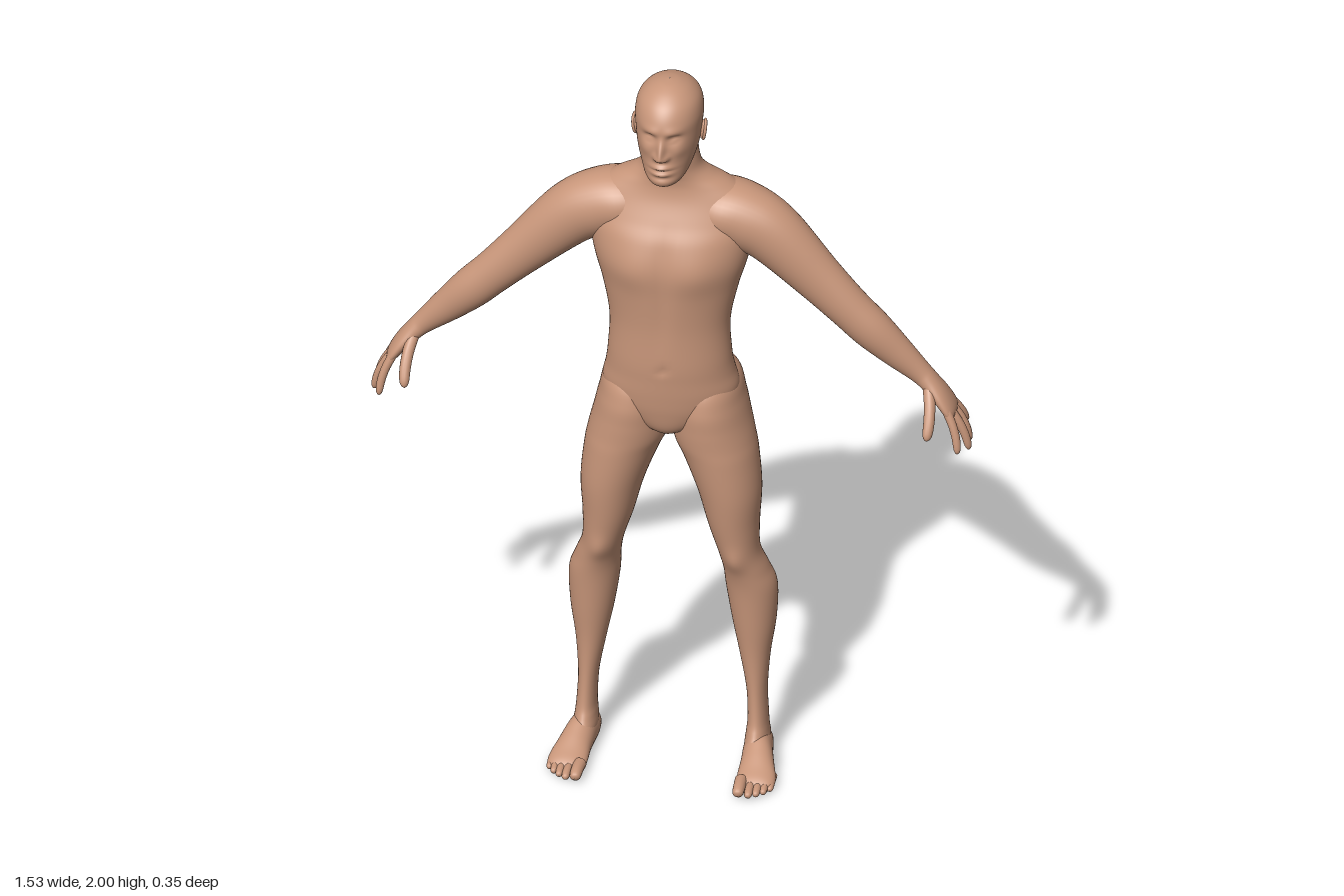
import * as THREE from 'three';

const V = (x, y, z) => new THREE.Vector3(x, y, z);
const Y = V(0, 1, 0), Z = V(0, 0, 1);
const bell = (d, w) => Math.exp(-(d * d) / (w * w));
const ramp = (a, b, t) => THREE.MathUtils.smoothstep(t, a, b);

// Smoothly resamples rows of numbers with a Catmull-Rom rule
function resample(rows, seg) {
  const out = [], last = rows.length - 1;
  for (let i = 0; i < last; i++) {
    const [a, b, c, d] = [rows[Math.max(i - 1, 0)], rows[i], rows[i + 1], rows[Math.min(i + 2, last)]];
    for (let k = 0; k < seg; k++) {
      const t = k / seg;
      out.push(b.map((p, j) => p + 0.5 * t * (c[j] - a[j] + t * (2 * a[j] - 5 * p + 4 * c[j] - d[j]
        + t * (3 * (p - c[j]) + d[j] - a[j])))));
    }
  }
  out.push(rows[last]);
  return out;
}

// Skin over oval sections [x, y, z, half-size across, half-size along ref];
// with an axis the sections stay square to it, otherwise they follow the path
function loft(rows, { ref = Z, axis = null, n = 32, seg = 5, sculpt = null } = {}) {
  const path = resample(rows, seg), pos = [], idx = [];
  path.forEach((r, i) => {
    const p0 = path[Math.max(i - 1, 0)], p1 = path[Math.min(i + 1, path.length - 1)];
    let t = V(p1[0] - p0[0], p1[1] - p0[1], p1[2] - p0[2]).normalize();
    if (axis) t = axis.clone().multiplyScalar(t.dot(axis) < 0 ? -1 : 1);
    const v = ref.clone().addScaledVector(t, -ref.dot(t)).normalize();
    const u = v.clone().cross(t);
    for (let j = 0; j < n; j++) {
      const a = (j / n) * Math.PI * 2, s = Math.sin(a);
      const p = V(r[0], r[1], r[2]).addScaledVector(u, Math.cos(a) * Math.max(r[3], 0.0005))
        .addScaledVector(v, s * Math.max(r[4], 0.0005));
      if (sculpt) sculpt(p, s);
      pos.push(p.x, p.y, p.z);
      if (i < path.length - 1) {
        const A = i * n + j, B = i * n + (j + 1) % n;
        idx.push(A, B, B + n, A, B + n, A + n);
      }
    }
  });
  const g = new THREE.BufferGeometry();
  g.setAttribute('position', new THREE.Float32BufferAttribute(pos, 3));
  g.setIndex(idx);
  g.computeVertexNormals();
  return g;
}

// Upright section from height, half-width, front z and back z
const slice = (y, w, front, back, x = 0) => [x, y, (front + back) / 2, w, (front - back) / 2];

// Tapered finger or toe along a bent line
function digit(base, mid, tip, r, ref) {
  const curve = new THREE.QuadraticBezierCurve3(V(...base), V(...mid), V(...tip));
  const taper = [[0, 1], [0.3, 0.95], [0.6, 0.92], [0.85, 0.82], [0.96, 0.5], [1, 0.03]];
  return loft(taper.map(([t, k]) => [...curve.getPoint(t).toArray(), r * k, r * k]), { ref, n: 14, seg: 3 });
}

// Spine furrow, shoulder blades, chest muscles, midline and navel
function sculptTorso(p, s) {
  const ax = Math.abs(p.x);
  if (s < 0) {
    p.z += 0.012 * bell(p.x, 0.032) * ramp(1.05, 1.2, p.y) * (1 - ramp(1.58, 1.7, p.y)) * -s;
    p.z -= 0.012 * bell(ax - 0.09, 0.055) * bell(p.y - 1.54, 0.1) * -s;
  } else {
    p.z += 0.01 * bell(ax - 0.09, 0.06) * bell(p.y - 1.48, 0.06) * s;
    p.z -= 0.005 * bell(p.x, 0.022) * ramp(1.2, 1.4, p.y) * (1 - ramp(1.52, 1.62, p.y));
    p.z -= 0.005 * bell(p.x, 0.012) * bell(p.y - 1.19, 0.012);
  }
}

// Brow, eye sockets, lids, nose, cheeks, lips and chin
function sculptHead(p, s) {
  if (s <= 0) return;
  const ax = Math.abs(p.x), y = p.y;
  let d = 0.005 * bell(ax - 0.028, 0.022) * bell(y - 1.905, 0.012);
  d -= 0.013 * bell(ax - 0.031, 0.016) * bell(y - 1.885, 0.012);
  d += 0.007 * bell(ax - 0.032, 0.011) * bell(y - 1.882, 0.006);
  d += 0.006 * bell(ax - 0.045, 0.02) * bell(y - 1.85, 0.02);
  const slope = ramp(1.82, 1.835, y) * (1 - ramp(1.838, 1.9, y));
  d += 0.025 * slope * bell(p.x, 0.009 + 0.005 * bell(y - 1.834, 0.012));
  d += 0.007 * bell(ax - 0.013, 0.007) * bell(y - 1.832, 0.008);
  d += 0.009 * bell(p.x, 0.024) * (bell(y - 1.803, 0.007) + bell(y - 1.787, 0.007));
  d -= 0.006 * bell(p.x, 0.024) * bell(y - 1.795, 0.004);
  d -= 0.004 * bell(p.x, 0.025) * bell(y - 1.773, 0.007);
  p.z += d * ramp(0, 0.5, s);
}

export function createModel() {
  const skin = new THREE.MeshStandardMaterial({ color: 0xc8967a });
  skin.name = 'skin';
  const model = new THREE.Group();
  model.name = 'figure';
  const add = (name, geometry, parent = model) => {
    const m = new THREE.Mesh(geometry, skin);
    m.name = name;
    parent.add(m);
    return m;
  };

  // Torso and neck
  add('torso', loft([
    slice(0.965, 0.003, -0.01, -0.04), slice(0.975, 0.03, 0.035, -0.08), slice(1.0, 0.09, 0.062, -0.115),
    slice(1.05, 0.155, 0.076, -0.138), slice(1.1, 0.173, 0.083, -0.146), slice(1.15, 0.164, 0.087, -0.136),
    slice(1.2, 0.157, 0.09, -0.123), slice(1.3, 0.153, 0.09, -0.121), slice(1.4, 0.172, 0.096, -0.143),
    slice(1.48, 0.195, 0.098, -0.158), slice(1.55, 0.208, 0.082, -0.162), slice(1.6, 0.215, 0.055, -0.16),
    slice(1.65, 0.2, 0.03, -0.145), slice(1.685, 0.152, 0.02, -0.126), slice(1.71, 0.107, 0.02, -0.113),
    slice(1.735, 0.08, 0.025, -0.105), slice(1.77, 0.07, 0.03, -0.1), slice(1.82, 0.066, 0.03, -0.098),
  ], { axis: Y, n: 72, seg: 6, sculpt: sculptTorso }));

  // Head
  add('head', loft([
    slice(1.738, 0.004, 0.07, 0.055), slice(1.744, 0.034, 0.096, 0.0), slice(1.76, 0.052, 0.108, -0.045),
    slice(1.79, 0.066, 0.106, -0.088), slice(1.83, 0.077, 0.104, -0.105), slice(1.88, 0.083, 0.105, -0.118),
    slice(1.92, 0.085, 0.102, -0.122), slice(1.955, 0.077, 0.084, -0.109), slice(1.98, 0.056, 0.055, -0.081),
    slice(1.995, 0.028, 0.022, -0.044), slice(2.0, 0.001, -0.01, -0.012),
  ], { axis: Y, n: 112, seg: 9, sculpt: sculptHead }));

  for (const s of [1, -1]) {
    const side = s > 0 ? 'left' : 'right';
    const flip = rows => rows.map(([x, ...rest]) => [s * x, ...rest]);

    // Ear: shell with a raised rim
    const ear = new THREE.Group();
    ear.name = side + 'Ear';
    ear.position.set(s * 0.084, 1.858, -0.012);
    ear.rotation.set(-0.15, s * 0.3, s * -0.1);
    model.add(ear);
    add('earShell', new THREE.SphereGeometry(1, 20, 14), ear).scale.set(0.007, 0.026, 0.014);
    const rim = add('earRim', new THREE.TorusGeometry(0.0135, 0.004, 10, 28).rotateY(Math.PI / 2), ear);
    rim.scale.set(1, 1.7, 1);
    rim.position.x = s * 0.004;

    // Arm from inside the chest to the palm
    add(side + 'Arm', loft(flip([
      [0.04, 1.617, -0.06, 0.05, 0.065], [0.12, 1.606, -0.058, 0.078, 0.091], [0.19, 1.585, -0.053, 0.086, 0.086],
      [0.26, 1.546, -0.046, 0.081, 0.072],
      [0.37, 1.44, -0.038, 0.065, 0.054], [0.45, 1.36, -0.036, 0.056, 0.049], [0.51, 1.3, -0.038, 0.053, 0.047],
      [0.57, 1.24, -0.043, 0.043, 0.038], [0.625, 1.187, -0.047, 0.031, 0.03], [0.65, 1.162, -0.047, 0.026, 0.032],
      [0.685, 1.122, -0.045, 0.021, 0.043], [0.71, 1.085, -0.045, 0.015, 0.046], [0.718, 1.068, -0.045, 0.001, 0.03],
    ]), { n: 40, seg: 6 }));

    // Fingers and thumb: base, bend, tip, radius
    [['indexFinger', [0.704, 1.095, -0.012], [0.735, 1.04, 0.002], [0.735, 0.987, 0.012], 0.0115],
      ['middleFinger', [0.708, 1.09, -0.034], [0.75, 1.035, -0.033], [0.756, 0.975, -0.035], 0.0118],
      ['ringFinger', [0.708, 1.09, -0.057], [0.75, 1.04, -0.06], [0.752, 0.982, -0.067], 0.0112],
      ['littleFinger', [0.703, 1.095, -0.077], [0.735, 1.055, -0.093], [0.737, 1.015, -0.109], 0.0098],
      ['thumb', [0.655, 1.15, -0.03], [0.672, 1.095, 0.022], [0.663, 1.04, 0.05], 0.0155],
    ].forEach(([name, a, b, c, r]) => add(`${side} ${name}`, digit(...flip([a, b, c]), r, Z)));

    // Leg from buttock to ankle: height, inner x, outer x, front z, back z
    add(side + 'Leg', loft(flip([
      [1.19, 0.085, 0.095, -0.03, -0.06], [1.125, 0.018, 0.165, 0.05, -0.155], [1.06, 0.002, 0.185, 0.073, -0.176],
      [1.0, 0.0, 0.199, 0.074, -0.17], [0.95, 0.007, 0.211, 0.072, -0.157], [0.9, 0.03, 0.22, 0.07, -0.148],
      [0.8, 0.068, 0.229, 0.063, -0.13], [0.7, 0.095, 0.224, 0.05, -0.115], [0.62, 0.12, 0.225, 0.036, -0.102],
      [0.56, 0.131, 0.245, 0.021, -0.115], [0.5, 0.135, 0.264, 0.01, -0.129], [0.4, 0.15, 0.261, 0.0, -0.126],
      [0.3, 0.17, 0.247, -0.009, -0.11], [0.2, 0.188, 0.24, -0.01, -0.1], [0.12, 0.192, 0.243, -0.002, -0.1],
      [0.085, 0.19, 0.246, 0.012, -0.103], [0.05, 0.188, 0.25, 0.034, -0.109], [0.02, 0.2, 0.24, 0.03, -0.095],
    ].map(([y, xi, xo, f, b]) => slice(y, (xo - xi) / 2, f, b, (xi + xo) / 2))), {
      axis: Y, n: 48, seg: 6,
      // Kneecap
      sculpt: (p, v) => { if (v > 0) p.z += 0.008 * v * bell(p.x - s * 0.172, 0.03) * bell(p.y - 0.61, 0.035); },
    }));

    // Foot with flat sole: z, centre x, half-width, top height
    add(side + 'Foot', loft(flip([
      [-0.116, 0.218, 0.001, 0.03], [-0.106, 0.218, 0.024, 0.05], [-0.06, 0.22, 0.035, 0.075],
      [-0.01, 0.225, 0.038, 0.086], [0.04, 0.233, 0.043, 0.068], [0.085, 0.239, 0.049, 0.047],
      [0.115, 0.24, 0.046, 0.034], [0.132, 0.236, 0.03, 0.022], [0.138, 0.232, 0.002, 0.012],
    ].map(([z, x, w, h]) => [x, h * 0.4, z, w, h * 0.6])), {
      ref: Y, axis: Z, n: 40, seg: 5, sculpt: p => { p.y = Math.max(p.y, 0); },
    }));

    // Toes: x, tip z, radius
    [[0.207, 0.175, 0.0165], [0.232, 0.172, 0.0115], [0.25, 0.162, 0.011], [0.266, 0.148, 0.0105], [0.28, 0.13, 0.01]]
      .forEach(([x, z, r], i) => add(`${side} toe ${i + 1}`,
        digit(...flip([[x - 0.002, r + 0.004, z - 0.065], [x, r + 0.008, z - 0.025], [x, r * 0.85, z]]), r, Y)));
  }
  return model;
}
